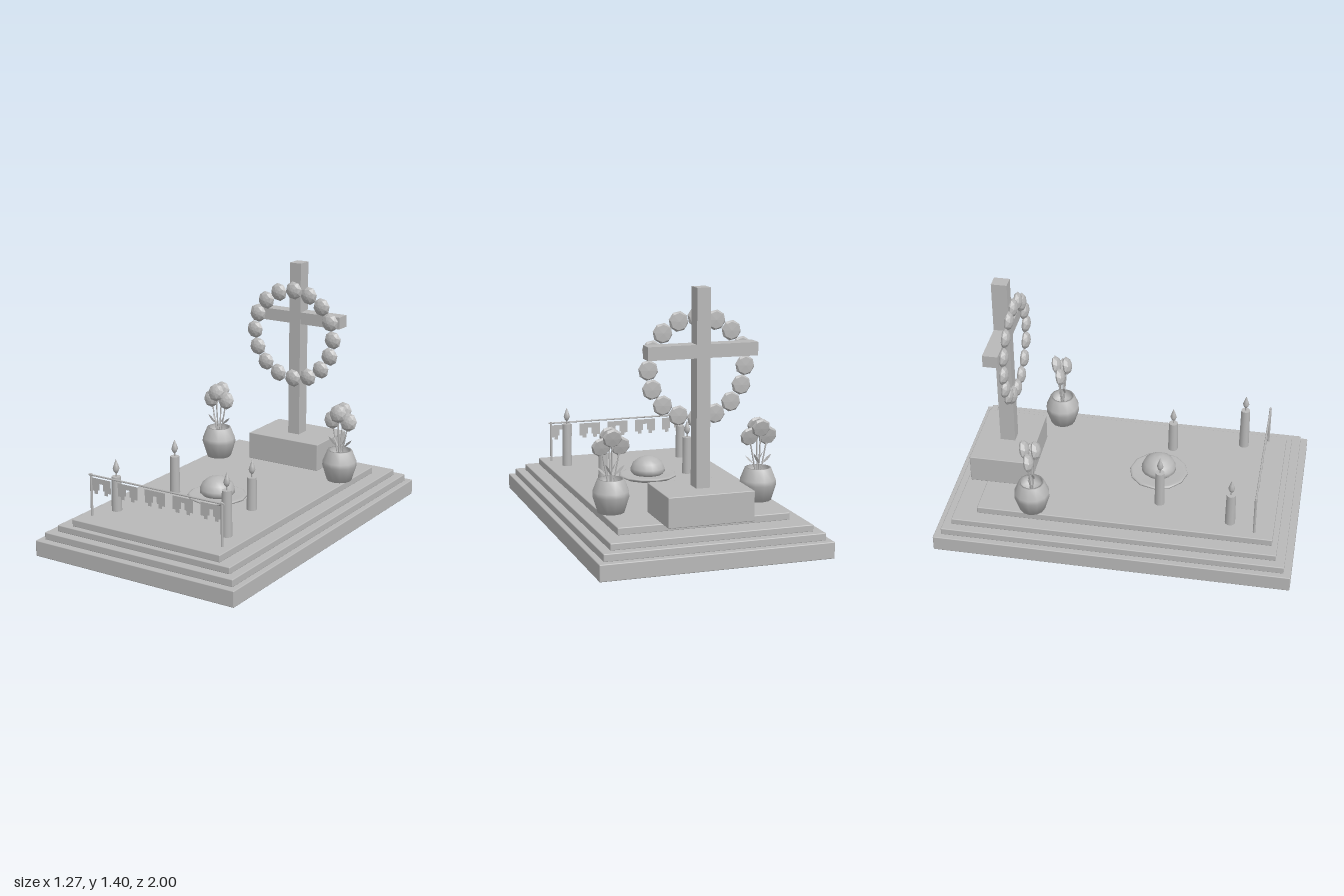
import * as THREE from 'three';
import { RoundedBoxGeometry } from 'three/addons/geometries/RoundedBoxGeometry.js';

const stone = new THREE.MeshStandardMaterial({ color: 0xb8b8b8 });
stone.name = 'stone grey';
const facet = stone.clone(); // same grey, faceted
facet.name = 'faceted grey';
facet.flatShading = true;
const thin = stone.clone(); // same grey, for open surfaces
thin.name = 'paper grey';
thin.side = THREE.DoubleSide;

const V = (x, y, z) => new THREE.Vector3(x, y, z);

function add(parent, name, geo, mat, x = 0, y = 0, z = 0) {
  const m = new THREE.Mesh(geo, mat);
  m.name = name;
  m.position.set(x, y, z);
  parent.add(m);
  return m;
}

// Box given by its limits
function block(parent, name, hx, y0, y1, z0, z1, bevel = 0.005) {
  const geo = bevel
    ? new RoundedBoxGeometry(hx * 2, y1 - y0, z1 - z0, 2, bevel)
    : new THREE.BoxGeometry(hx * 2, y1 - y0, z1 - z0);
  return add(parent, name, geo, stone, 0, (y0 + y1) / 2, (z0 + z1) / 2);
}

const lathe = (pts, n) => new THREE.LatheGeometry(pts.map(p => new THREE.Vector2(...p)), n);

// Straight rod between two points
function rod(parent, name, a, b, r) {
  const d = b.clone().sub(a);
  const m = add(parent, name, new THREE.CylinderGeometry(r, r, d.length(), 6), stone);
  m.position.copy(a).add(b).multiplyScalar(0.5);
  m.quaternion.setFromUnitVectors(V(0, 1, 0), d.normalize());
  return m;
}

// Flower head: low dome facing +z, its rings twisted into swirling petals
function bloomGeometry() {
  const g = lathe([[0, 0], [0.045, 0.003], [0.054, 0.014], [0.04, 0.034], [0.02, 0.042], [0, 0.046]], 8);
  const p = g.attributes.position;
  for (let i = 0; i < p.count; i++) {
    const v = V(p.getX(i), p.getY(i), p.getZ(i));
    v.applyAxisAngle(V(0, 1, 0), v.y * 14);
    p.setXYZ(i, v.x, v.y, v.z);
  }
  g.rotateX(Math.PI / 2);
  g.computeVertexNormals();
  return g;
}

function leafGeometry() {
  const s = new THREE.Shape();
  s.moveTo(0, 0);
  s.quadraticCurveTo(0.016, 0.035, 0, 0.07);
  s.quadraticCurveTo(-0.016, 0.035, 0, 0);
  return new THREE.ShapeGeometry(s, 4);
}

// Cut paper flag with a notch and teeth along the lower edge
function flagGeometry() {
  const half = [[0.065, 0.424], [0.065, 0.35], [0.045, 0.35], [0.045, 0.335],
    [0.022, 0.335], [0.022, 0.358], [0.012, 0.358], [0.012, 0.395]];
  const other = half.map(([x, y]) => [-x, y]).reverse();
  return new THREE.ShapeGeometry(new THREE.Shape([...half, ...other].map(p => new THREE.Vector2(...p))));
}

export function createModel() {
  const root = new THREE.Group();
  root.name = 'memorialGrave';
  const top = 0.205;
  const bloom = bloomGeometry();
  const leaf = leafGeometry();

  // Stepped slab
  block(root, 'baseSlab', 0.635, 0, 0.09, -1, 1);
  block(root, 'secondStep', 0.602, 0.088, 0.13, -0.96, 0.96);
  block(root, 'thirdStep', 0.552, 0.128, 0.166, -0.91, 0.91);
  block(root, 'topSlab', 0.474, 0.164, top, -0.78, 0.88);

  // Cross on its pedestal
  block(root, 'pedestal', 0.235, 0.203, 0.365, -0.875, -0.53, 0.004);
  block(root, 'crossUpright', 0.037, 0.36, 1.405, -0.742, -0.655, 0);
  block(root, 'crossArm', 0.298, 1.045, 1.115, -0.741, -0.656, 0);

  // Wreath of flower heads
  const wreath = new THREE.Group();
  wreath.name = 'wreath';
  for (let i = 0; i < 16; i++) {
    const a = (i / 16) * Math.PI * 2;
    add(wreath, 'wreathFlower', bloom, facet, Math.sin(a) * 0.265, 0.98 + Math.cos(a) * 0.265, -0.654);
  }
  root.add(wreath);

  // Vases with four flowers each
  const vaseGeo = lathe([[0, 0], [0.072, 0], [0.1, 0.09], [0.098, 0.115], [0.072, 0.18],
    [0.06, 0.18], [0.07, 0.12], [0, 0.1]], 12);
  const heads = [[-0.052, 0.35, 0], [0.052, 0.35, 0], [0, 0.4, 0.032], [0, 0.4, -0.032]];
  for (const side of [-1, 1]) {
    const g = new THREE.Group();
    g.name = side > 0 ? 'leftVase' : 'rightVase';
    g.position.set(side * 0.417, top, -0.472);
    add(g, 'vase', vaseGeo, stone);
    heads.forEach(([x, y, z], i) => {
      rod(g, 'stem', V(x * 0.1, 0.1, z * 0.1), V(x, y, z), 0.004);
      const head = add(g, 'flower', bloom, facet, x, y, z - 0.015);
      head.rotation.x = -0.25;
      const l = add(g, 'leaf', leaf, thin, x * 0.5, 0.2, z * 0.5);
      l.rotation.set(0, (i * Math.PI) / 4, x ? -Math.sign(x) * 0.8 : 0.5 * (z > 0 ? 1 : -1), 'ZYX');
    });
    root.add(g);
  }

  // Candles: x, z, height of the wax
  const flame = lathe([[0, 0], [0.012, 0.012], [0.019, 0.03], [0.012, 0.053], [0, 0.085]], 8);
  for (const [x, z, h] of [[-0.257, 0.225, 0.215], [0.255, 0.225, 0.185], [-0.358, 0.635, 0.195], [0.358, 0.635, 0.253]]) {
    const g = new THREE.Group();
    g.name = 'candle';
    g.position.set(x, top, z);
    add(g, 'wax', new THREE.CylinderGeometry(0.026, 0.029, h, 12), stone, 0, h / 2);
    add(g, 'wick', new THREE.CylinderGeometry(0.004, 0.004, 0.03, 6), stone, 0, h + 0.012);
    add(g, 'flame', flame, stone, 0, h + 0.014);
    root.add(g);
  }

  // Plate with a round loaf
  add(root, 'plate', lathe([[0, 0.002], [0.14, 0.004], [0.168, 0.018], [0.166, 0.025], [0.155, 0.029], [0.13, 0.025], [0, 0.018]], 12),
    stone, 0, top, 0.18);
  add(root, 'loaf', lathe([[0, 0.02], [0.085, 0.026], [0.1, 0.042], [0.098, 0.062], [0.084, 0.094], [0.055, 0.117], [0.028, 0.127], [0, 0.13]], 16),
    stone, 0, top, 0.18);

  // Paper flags on a line between two posts
  const banner = new THREE.Group();
  banner.name = 'banner';
  for (const side of [-1, 1]) rod(banner, 'post', V(side * 0.42, top, 0.775), V(side * 0.42, 0.445, 0.775), 0.007);
  rod(banner, 'line', V(-0.435, 0.438, 0.775), V(0.435, 0.438, 0.775), 0.005);
  const flag = flagGeometry();
  for (let i = -2; i <= 2; i++) add(banner, 'flag', flag, thin, i * 0.177, 0, 0.775);
  root.add(banner);

  return root;
}
